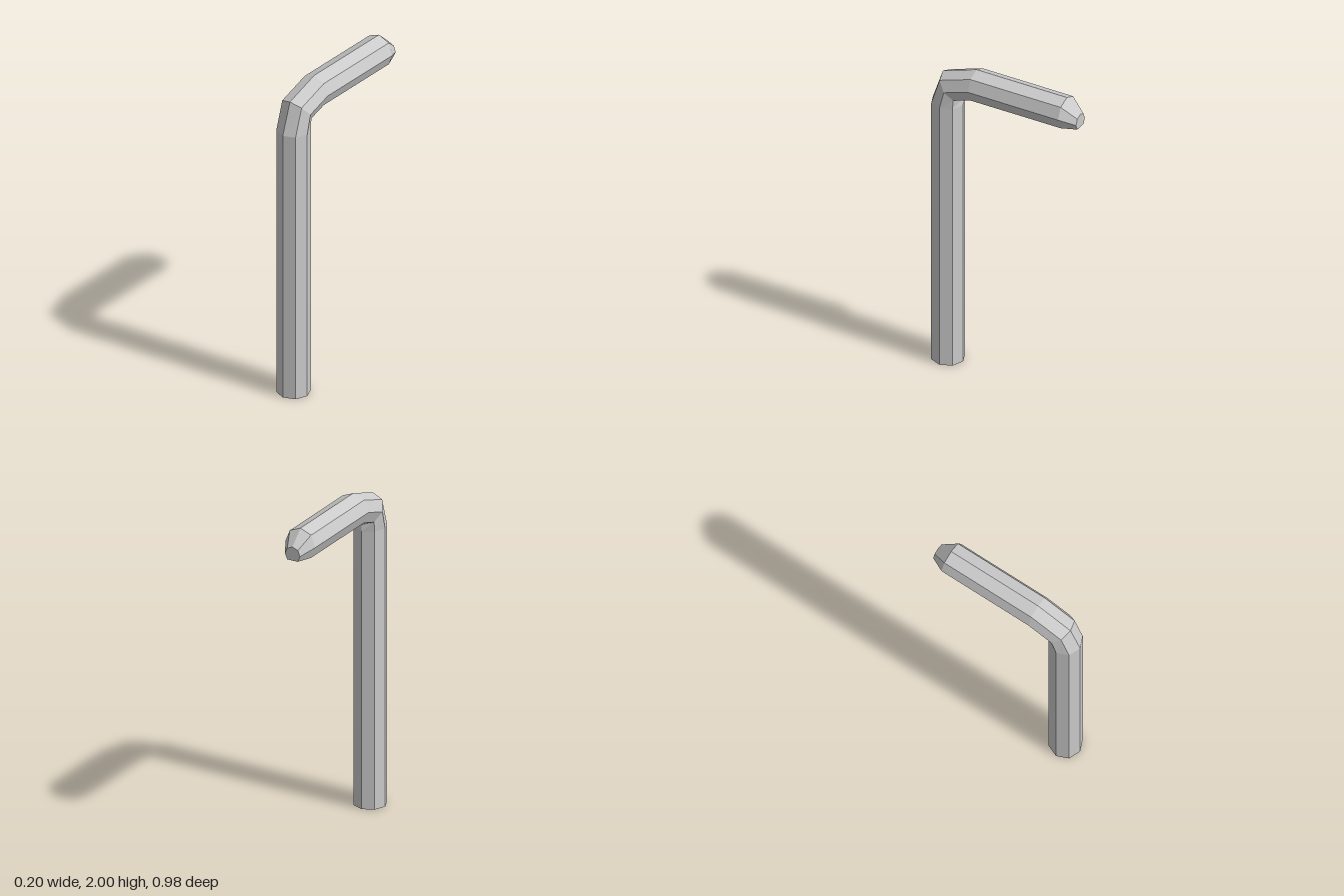
import * as THREE from 'three';

const SIDES = 8;

// Octagonal cross-sections along the bent rod: centre (z, y), radius,
// tilt of the outer corner (0 = front, PI/2 = up) and lowest height allowed.
const SECTIONS = [
  { z: 0.39, y: 0, r: 0.1, tilt: 0, floor: 0 },
  { z: 0.39, y: 1.73, r: 0.1, tilt: 0, floor: 0 },
  { z: 0.36, y: 1.847, r: 0.1, tilt: 0.88, floor: 0 },
  { z: 0.2, y: 1.9, r: 0.1, tilt: Math.PI / 2, floor: 1.828 },
  { z: -0.4, y: 1.9, r: 0.1, tilt: Math.PI / 2, floor: 1.83 },
  { z: -0.49, y: 1.865, r: 0.05, tilt: Math.PI / 2, floor: 1.83 },
];

function ring({ z, y, r, tilt, floor }) {
  const points = [];
  for (let j = 0; j < SIDES; j++) {
    const a = (j / SIDES) * Math.PI * 2;
    const out = r * Math.cos(a);
    points.push(new THREE.Vector3(
      r * Math.sin(a),
      Math.max(floor, y + out * Math.sin(tilt)),
      z + out * Math.cos(tilt),
    ));
  }
  return points;
}

function facetedMesh(triangles, name) {
  const geometry = new THREE.BufferGeometry().setFromPoints(triangles);
  geometry.computeVertexNormals();
  const mesh = new THREE.Mesh(geometry, new THREE.MeshStandardMaterial({
    color: 0xcccccc, flatShading: true, side: THREE.DoubleSide,
  }));
  mesh.name = name;
  return mesh;
}

// Walls joining a run of neighbouring sections
function loft(rings) {
  const triangles = [];
  for (let i = 0; i < rings.length - 1; i++) {
    for (let j = 0; j < SIDES; j++) {
      const k = (j + 1) % SIDES;
      const a = rings[i][j], b = rings[i][k];
      const c = rings[i + 1][k], d = rings[i + 1][j];
      triangles.push(a, b, c, a, c, d);
    }
  }
  return triangles;
}

export function createModel() {
  const group = new THREE.Group();
  group.name = 'bentRod';
  const rings = SECTIONS.map(ring);

  // Upright shaft, open at the foot
  group.add(facetedMesh(loft(rings.slice(0, 2)), 'shaft'));
  // Two-step elbow
  group.add(facetedMesh(loft(rings.slice(1, 4)), 'elbow'));
  // Horizontal arm with a flattened underside
  group.add(facetedMesh(loft(rings.slice(3, 5)), 'arm'));

  // Tapered tip, closed by an end face
  const tip = loft(rings.slice(4));
  const end = rings[rings.length - 1];
  for (let j = 1; j < SIDES - 1; j++) tip.push(end[0], end[j], end[j + 1]);
  group.add(facetedMesh(tip, 'tip'));

  return group;
}
